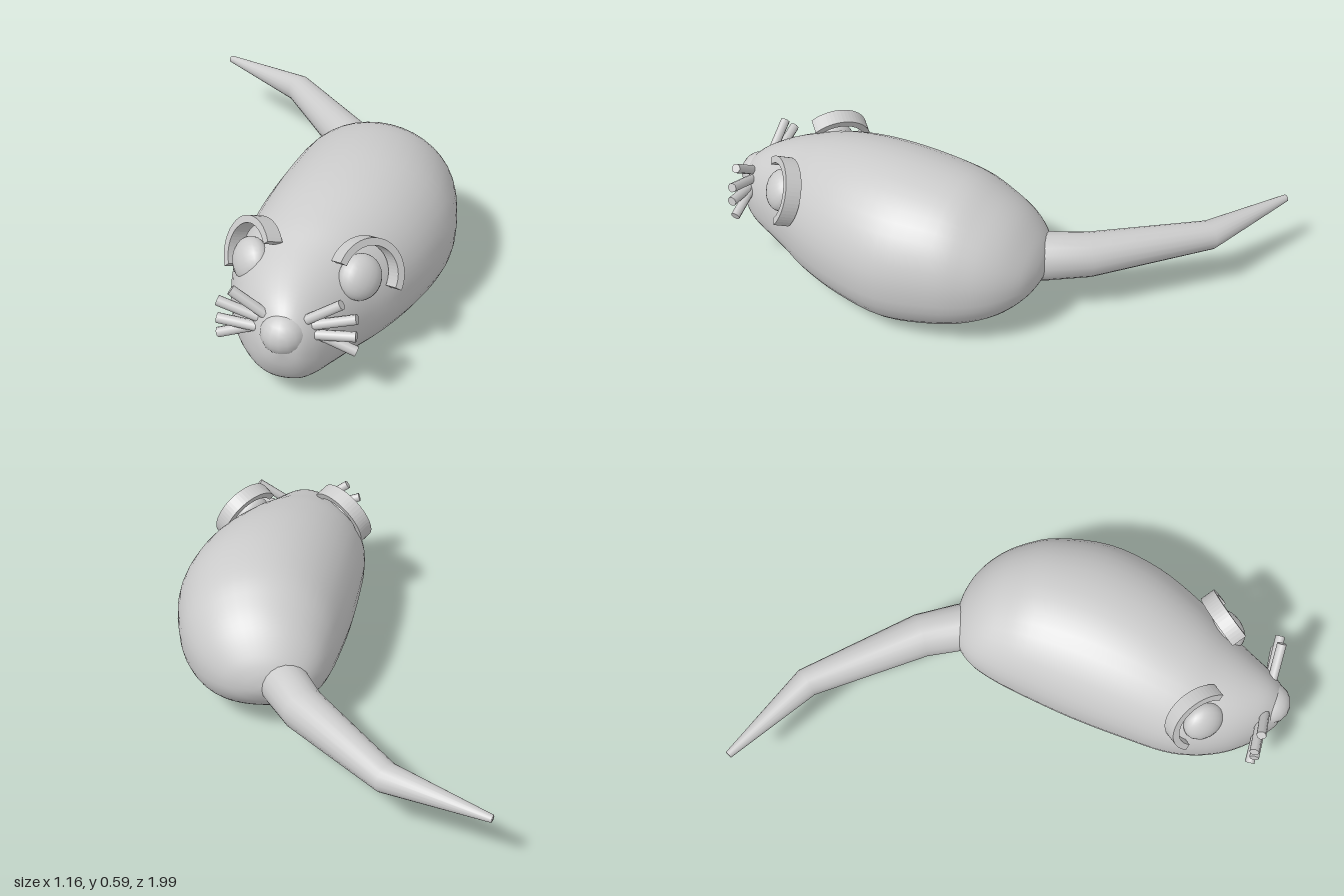
import * as THREE from 'three';

const V = (x, y, z) => new THREE.Vector3(x, y, z);
const material = new THREE.MeshStandardMaterial({ color: 0xcccccc });

function part(name, geometry, mat = material) {
  const mesh = new THREE.Mesh(geometry, mat);
  mesh.name = name;
  return mesh;
}

// Skin a list of closed rings with smooth normals
function loft(rings) {
  const n = rings[0].length, index = [];
  for (let i = 0; i < rings.length - 1; i++) {
    for (let j = 0; j < n; j++) {
      const a = i * n + j, b = i * n + (j + 1) % n;
      index.push(a, a + n, b, b, a + n, b + n);
    }
  }
  const geometry = new THREE.BufferGeometry().setFromPoints(rings.flat());
  geometry.setIndex(index);
  geometry.computeVertexNormals();
  return geometry;
}

// Egg-like body: sections of z, right x, left x, bottom y, top y
function bodyGeometry() {
  const rows = [
    [0.98, 0.125, 0.135, 0.25, 0.26],
    [0.965, 0.07, 0.19, 0.18, 0.32],
    [0.93, 0.03, 0.23, 0.115, 0.37],
    [0.88, -0.02, 0.265, 0.08, 0.41],
    [0.8, -0.075, 0.31, 0.055, 0.45],
    [0.7, -0.115, 0.37, 0.035, 0.49],
    [0.58, -0.135, 0.45, 0.022, 0.535],
    [0.4, -0.123, 0.535, 0.013, 0.58],
    [0.2, -0.097, 0.58, 0.005, 0.596],
    [0, -0.06, 0.557, 0.033, 0.575],
    [-0.12, -0.03, 0.512, 0.065, 0.52],
    [-0.21, 0.005, 0.45, 0.108, 0.455],
    [-0.275, 0.06, 0.37, 0.165, 0.375],
    [-0.305, 0.13, 0.29, 0.215, 0.315],
    [-0.315, 0.2, 0.22, 0.255, 0.265],
  ];
  const rail = (p, q) => new THREE.CatmullRomCurve3(rows.map(r => V(r[p], r[q], r[0])), false, 'catmullrom');
  const sides = rail(1, 2), heights = rail(3, 4);
  const rings = [], steps = 56, n = 40;
  for (let i = 0; i <= steps; i++) {
    const s = sides.getPoint(i / steps), h = heights.getPoint(i / steps);
    const cx = (s.x + s.y) / 2, rx = (s.y - s.x) / 2;
    const cy = h.x + (h.y - h.x) * 0.46;
    const ring = [];
    for (let j = 0; j < n; j++) {
      const a = j / n * Math.PI * 2, c = Math.cos(a), sn = Math.sin(a);
      const p = 2 / (sn < 0 ? 2.4 : 2); // fuller underside
      const x = Math.sign(c) * Math.abs(c) ** p, y = Math.sign(sn) * Math.abs(sn) ** p;
      ring.push(V(cx + x * rx, cy + y * (sn < 0 ? cy - h.x : h.y - cy), s.z));
    }
    rings.push(ring);
  }
  // close both ends
  for (const end of [0, steps]) {
    const mid = ring => ring.reduce((m, p) => m.add(p), V(0, 0, 0)).divideScalar(n);
    const m = mid(rings[end]);
    rings[end].forEach(p => p.copy(m));
  }
  return loft(rings);
}

// Tapered tail with mitred kinks
function tailGeometry() {
  const knots = [
    [0.175, -0.2, 0.09], [0.138, -0.285, 0.09], [0.066, -0.425, 0.083],
    [-0.228, -0.79, 0.055], [-0.576, -0.986, 0.014], [-0.576, -0.986, 0],
  ];
  const pts = knots.map(k => V(k[0], 0.255, k[1])), n = 20;
  const dir = i => pts[i + 1].clone().sub(pts[i]).normalize();
  return loft(knots.map(([, , r], i) => {
    const a = dir(Math.min(i, 3)), b = dir(Math.max(0, Math.min(i - 1, 3)));
    const d = a.clone().add(b).normalize();
    const side = V(0, 1, 0).cross(d.clone().negate()).multiplyScalar(1 / d.dot(a));
    return Array.from({ length: n }, (_, j) => {
      const t = j / n * Math.PI * 2;
      return pts[i].clone().addScaledVector(side, r * Math.cos(t)).add(V(0, r * Math.sin(t), 0));
    });
  }));
}

// Half-ring ear
function earGeometry() {
  const shape = new THREE.Shape();
  shape.absarc(0, 0, 0.132, 0, Math.PI, false);
  shape.absarc(0, 0, 0.106, Math.PI, 0, true);
  return new THREE.ExtrudeGeometry(shape, { depth: 0.06, bevelEnabled: false, curveSegments: 14 }).translate(0, 0, -0.03);
}

function rod(name, a, b, r) {
  const d = b.clone().sub(a);
  const mesh = part(name, new THREE.CylinderGeometry(r, r, d.length(), 8));
  mesh.position.copy(a).add(b).multiplyScalar(0.5);
  mesh.quaternion.setFromUnitVectors(V(0, 1, 0), d.normalize());
  return mesh;
}

export function createModel() {
  const model = new THREE.Group();
  model.name = 'mouse';
  model.add(part('body', bodyGeometry()), part('tail', tailGeometry()));

  const nose = part('nose', new THREE.SphereGeometry(0.075, 16, 12));
  nose.scale.set(1.05, 1, 1);
  nose.position.set(0.125, 0.292, 0.92);
  model.add(nose);

  // Ears and eyes share a frame lying on the head's surface
  const heads = [
    { side: 'left', centre: V(0.355, 0.4, 0.695), normal: V(0.66, 0.36, 0.64), up: V(0.23, 0.73, -0.65), eye: V(0.335, 0.395, 0.7) },
    { side: 'right', centre: V(-0.04, 0.412, 0.675), normal: V(-0.66, 0.36, 0.64), up: V(-0.325, 0.626, -0.69), eye: V(-0.045, 0.4, 0.69) },
  ];
  for (const { side, centre, normal, up, eye } of heads) {
    const z = normal.normalize(), x = up.clone().cross(z).normalize(), y = z.clone().cross(x);
    const turn = new THREE.Quaternion().setFromRotationMatrix(new THREE.Matrix4().makeBasis(x, y, z));
    const ear = part(side + 'Ear', earGeometry());
    ear.position.copy(centre);
    ear.quaternion.copy(turn);
    const ball = part(side + 'Eye', new THREE.SphereGeometry(0.08, 20, 14));
    ball.position.copy(eye);
    ball.quaternion.copy(turn);
    ball.scale.z = 0.65;
    model.add(ear, ball);
  }

  // Whiskers fan out from both sides of the nose
  const whiskers = new THREE.Group();
  whiskers.name = 'whiskers';
  const fan = [[0.07, 0.345, 0.185, 0.423], [0.085, 0.32, 0.235, 0.368], [0.1, 0.29, 0.235, 0.303], [0.1, 0.29, 0.235, 0.237]];
  for (const s of [-1, 1]) {
    fan.forEach(([x0, y0, x1, y1], i) => {
      const z = i % 2 ? 0.897 : 0.905;
      whiskers.add(rod('whisker', V(0.13 + s * x0, y0, z), V(0.13 + s * x1, y1, z), 0.018));
    });
  }
  model.add(whiskers);
  return model;
}
